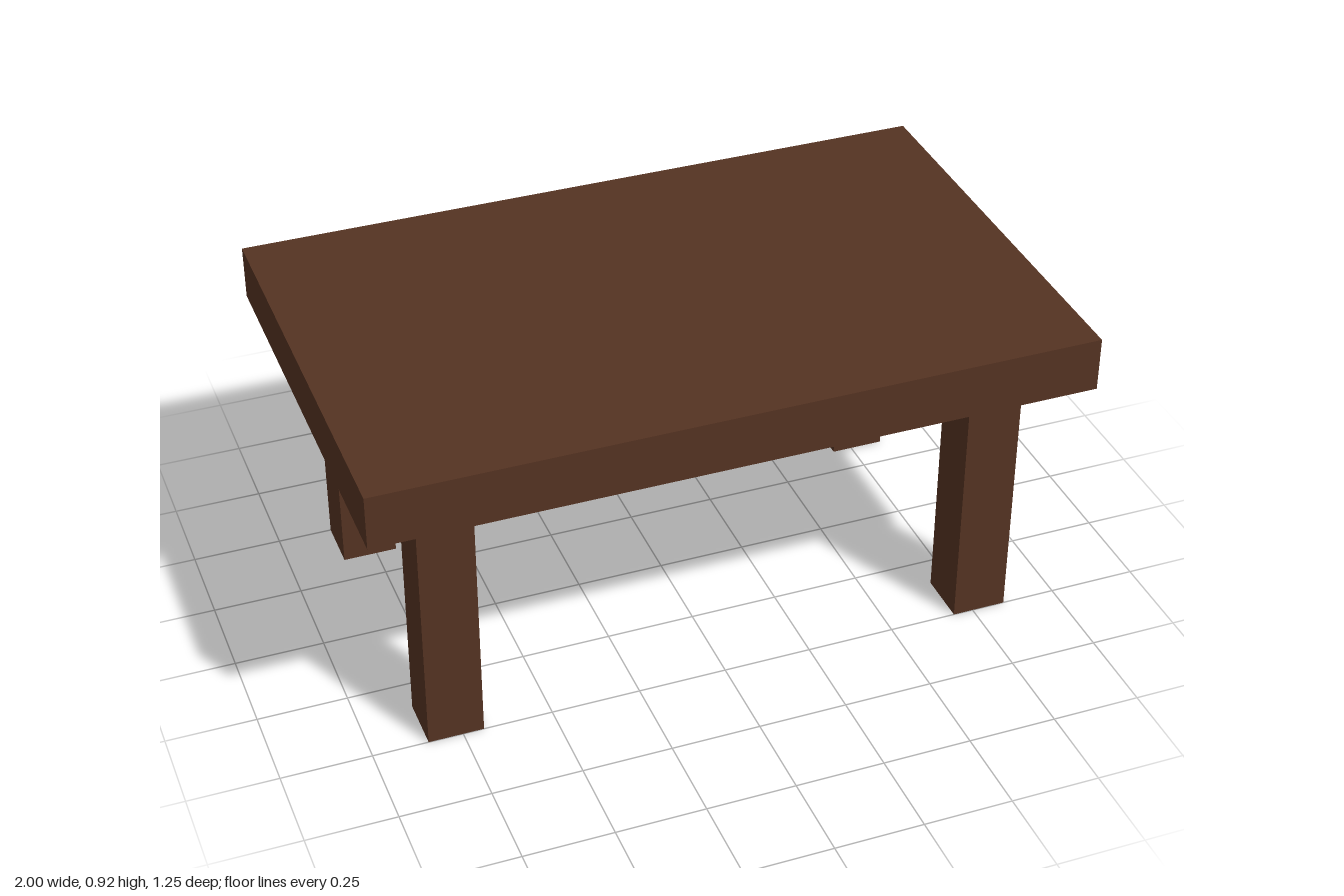
import * as THREE from 'three';

export function createModel() {
  const group = new THREE.Group();
  group.name = 'table';

  const wood = new THREE.MeshStandardMaterial({ color: 0x553322 });
  wood.name = 'dark brown wood';

  const thickness = 0.154; // shared by the slab and the square legs
  const legHeight = 0.77;

  // Table top: one thick slab
  const top = new THREE.Mesh(new THREE.BoxGeometry(2, thickness, 1.245), wood);
  top.name = 'tableTop';
  top.position.y = legHeight + thickness / 2;
  group.add(top);

  // Four square legs, inset from the corners
  const legGeometry = new THREE.BoxGeometry(thickness, legHeight, thickness);
  for (const [sideName, x] of [['Left', 0.769], ['Right', -0.769]]) {
    for (const [endName, z] of [['front', 0.423], ['back', -0.423]]) {
      const leg = new THREE.Mesh(legGeometry, wood);
      leg.name = `${endName}${sideName}Leg`;
      leg.position.set(x, legHeight / 2, z);
      group.add(leg);
    }
  }

  return group;
}
